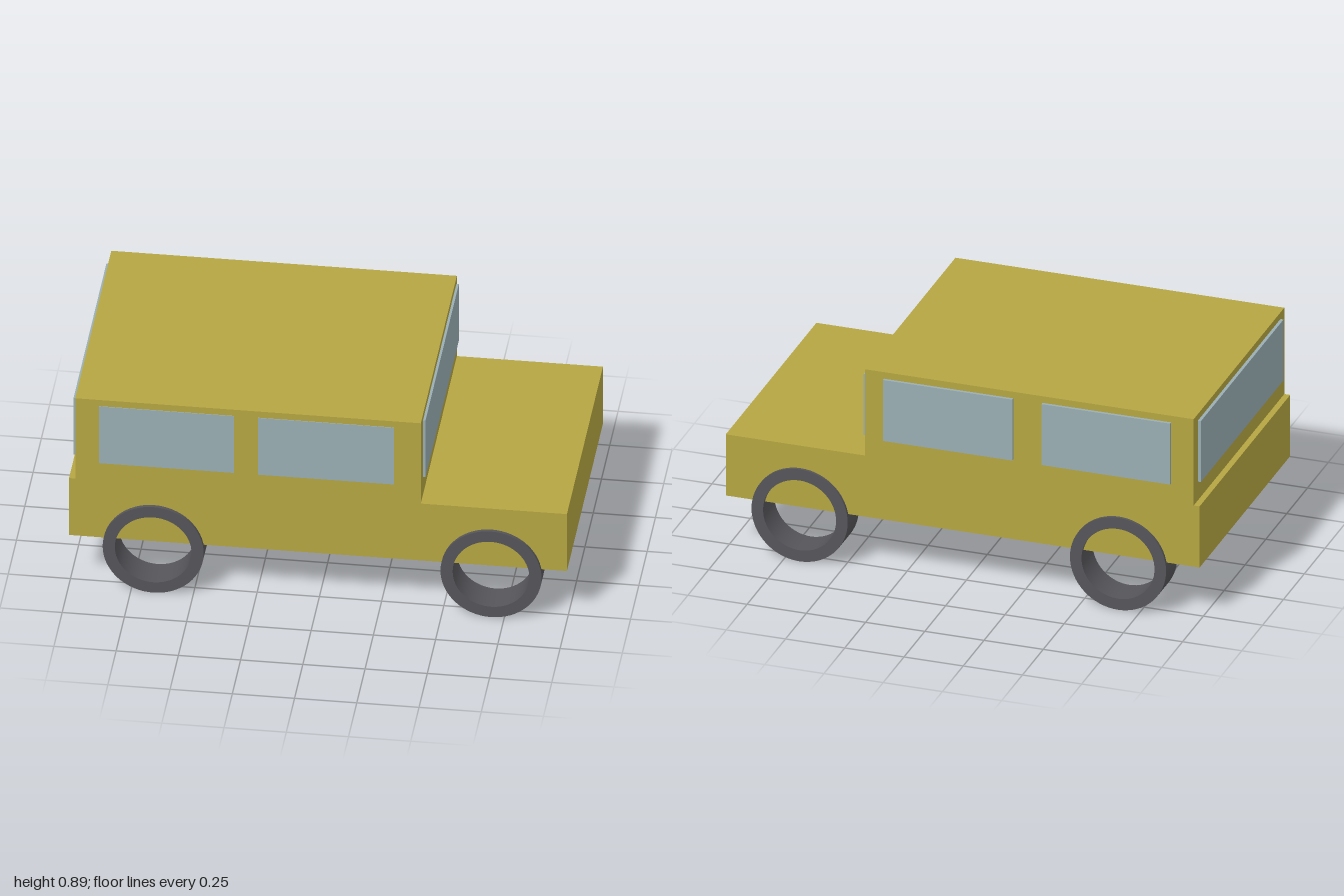
import * as THREE from 'three';
import { toCreasedNormals } from 'three/addons/utils/BufferGeometryUtils.js';

const paint = new THREE.MeshStandardMaterial({ color: 0xb5a642 });
const glass = new THREE.MeshStandardMaterial({ color: 0x9aaeb3 });
const rubber = new THREE.MeshStandardMaterial({ color: 0x55555a });

// Box given by its extents along each axis
function box(name, material, [x0, x1], [y0, y1], [z0, z1]) {
  const mesh = new THREE.Mesh(new THREE.BoxGeometry(x1 - x0, y1 - y0, z1 - z0), material);
  mesh.position.set((x0 + x1) / 2, (y0 + y1) / 2, (z0 + z1) / 2);
  mesh.name = name;
  return mesh;
}

// Open ring with a square-edged section, extruded along z
function ringGeometry(outer, inner, width) {
  const shape = new THREE.Shape().absarc(0, 0, outer, 0, Math.PI * 2, false);
  shape.holes.push(new THREE.Path().absarc(0, 0, inner, 0, Math.PI * 2, true));
  const geometry = new THREE.ExtrudeGeometry(shape, { depth: width, bevelEnabled: false, curveSegments: 32 });
  geometry.translate(0, 0, -width / 2);
  return toCreasedNormals(geometry, 0.6);
}

export function createModel() {
  const car = new THREE.Group();
  car.name = 'car';

  // Bodywork: long lower box and the cabin on top
  car.add(box('lowerBody', paint, [-1, 1], [0.235, 0.505], [-0.545, 0.543]));
  car.add(box('cabin', paint, [-0.975, 0.413], [0.505, 0.886], [-0.545, 0.543]));

  // Glass: windscreen, rear window and two windows per side
  const sill = [0.588, 0.857];
  car.add(box('windscreen', glass, [0.405, 0.423], sill, [-0.53, 0.476]));
  car.add(box('rearWindow', glass, [-0.988, -0.965], sill, [-0.495, 0.497]));
  const nearSide = [0.53, 0.546], farSide = [-0.558, -0.535];
  car.add(box('nearRearSideWindow', glass, [-0.88, -0.337], sill, nearSide));
  car.add(box('nearFrontSideWindow', glass, [-0.24, 0.305], sill, nearSide));
  car.add(box('farRearSideWindow', glass, [-0.88, -0.337], sill, farSide));
  car.add(box('farFrontSideWindow', glass, [-0.214, 0.332], sill, farSide));

  // Hollow wheels
  const radius = 0.203;
  const ring = ringGeometry(radius, 0.154, 0.135);
  const wheels = [
    ['nearRearWheel', -0.66, 0.4905],
    ['nearFrontWheel', 0.697, 0.4905],
    ['farRearWheel', -0.66, -0.49],
    ['farFrontWheel', 0.684, -0.49],
  ];
  for (const [name, x, z] of wheels) {
    const wheel = new THREE.Mesh(ring, rubber);
    wheel.position.set(x, radius, z);
    wheel.name = name;
    car.add(wheel);
  }
  return car;
}
